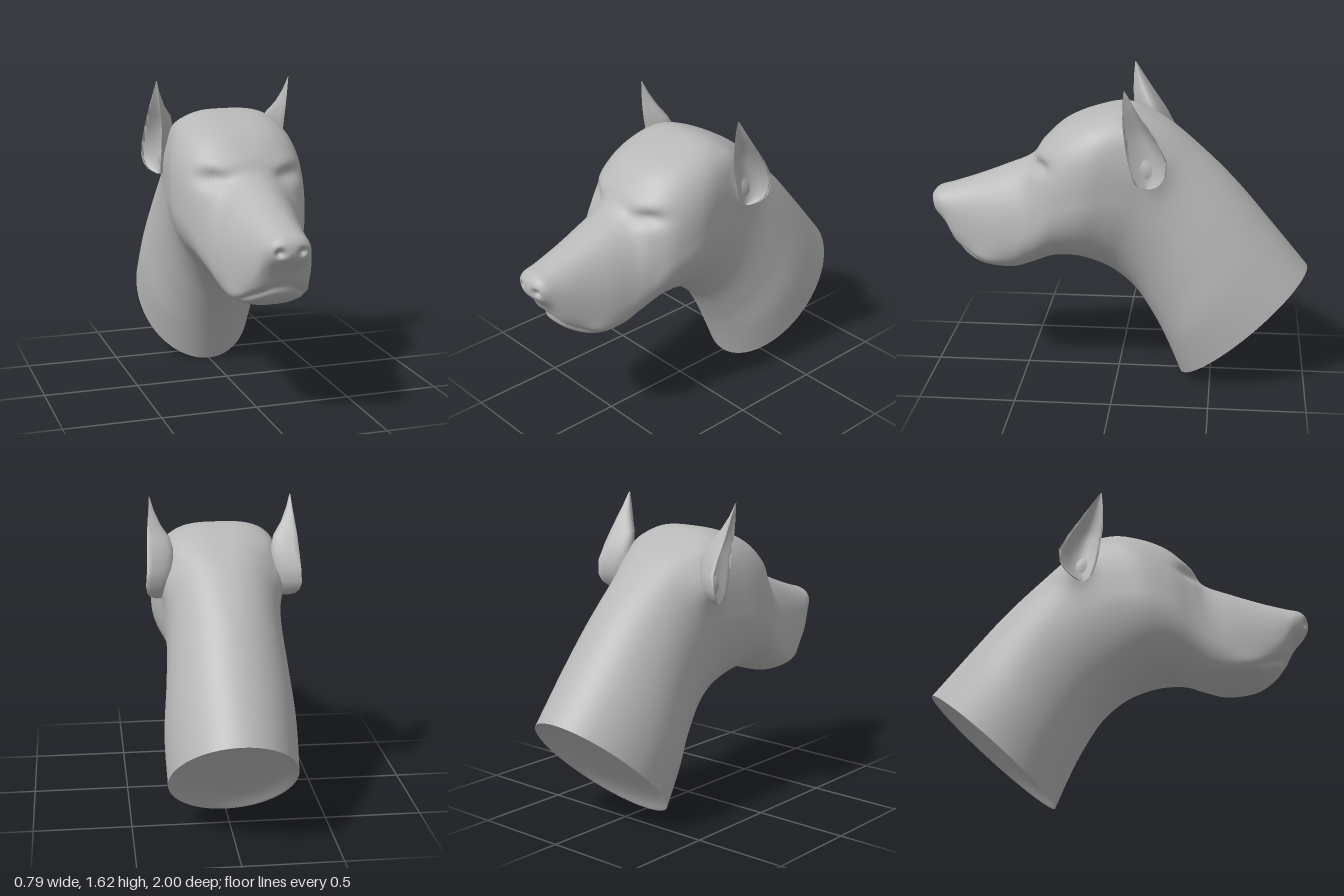
import * as THREE from 'three';

// Cross-sections from neck base to nose:
// top z, top y, bottom z, bottom y, half width, widest point (0 top..1 bottom), top roundness, bottom roundness
const SECTIONS = [
  [-1.0, 0.61, -0.335, 0.0, 0.325, 0.5, 1, 1],
  [-0.8, 0.85, -0.265, 0.17, 0.33, 0.5, 1, 1],
  [-0.61, 1.07, -0.195, 0.31, 0.31, 0.47, 0.97, 1],
  [-0.42, 1.25, -0.1, 0.46, 0.294, 0.46, 0.88, 1],
  [-0.24, 1.385, 0.0, 0.555, 0.3, 0.46, 0.72, 1],
  [-0.05, 1.463, 0.09, 0.61, 0.326, 0.5, 0.62, 1],
  [0.12, 1.438, 0.21, 0.65, 0.345, 0.54, 0.64, 1],
  [0.28, 1.375, 0.34, 0.652, 0.32, 0.56, 0.72, 0.95],
  [0.39, 1.28, 0.45, 0.615, 0.268, 0.6, 0.85, 0.85],
  [0.46, 1.19, 0.55, 0.587, 0.238, 0.62, 0.95, 0.78],
  [0.6, 1.128, 0.66, 0.592, 0.212, 0.64, 0.95, 0.75],
  [0.75, 1.07, 0.76, 0.622, 0.178, 0.64, 0.9, 0.75],
  [0.88, 1.026, 0.85, 0.69, 0.145, 0.6, 0.85, 0.8],
  [0.955, 1.004, 0.91, 0.8, 0.115, 0.5, 0.85, 0.85],
  [0.985, 0.98, 0.965, 0.865, 0.088, 0.5, 0.9, 0.9],
  [0.997, 0.955, 0.99, 0.895, 0.052, 0.5, 1, 1],
  [1.0, 0.925, 1.0, 0.925, 0, 0.5, 1, 1],
];
const AROUND = 96;

// Smooth interpolation through the section list
function sectionAt(t) {
  const last = SECTIONS.length - 1;
  const i = Math.min(Math.floor(t), last - 1), f = t - i;
  const [a, b, c, d] = [i - 1, i, i + 1, i + 2].map(k => SECTIONS[Math.max(0, Math.min(last, k))]);
  return b.map((p, k) => {
    const m0 = (c[k] - a[k]) / 2, m1 = (d[k] - p) / 2, q = c[k];
    return p + m0 * f + (3 * (q - p) - 2 * m0 - m1) * f * f + (2 * (p - q) + m0 + m1) * f * f * f;
  });
}

function ring([tz, ty, bz, by, w, mid, eT, eB]) {
  const points = [];
  for (let j = 0; j < AROUND; j++) {
    const a = j / AROUND * Math.PI * 2, c = Math.cos(a), s = Math.sin(a);
    const e = c > 0 ? eT : eB;
    const h = Math.pow(Math.abs(c), e);
    const v = c > 0 ? mid * (1 - h) : mid + (1 - mid) * h;
    const x = Math.max(0, w) * Math.sign(s) * Math.pow(Math.abs(s), e);
    points.push(new THREE.Vector3(x, ty + (by - ty) * v, tz + (bz - tz) * v));
  }
  return points;
}

// Mirrored soft pushes: centre, reach, offset
const PUSHES = [
  [[0.2, 1.175, 0.4], [0.08, 0.035, 0.1], [-0.018, 0, -0.025]],       // eye slit
  [[0.19, 1.24, 0.37], [0.08, 0.04, 0.09], [0.004, 0, 0.01]],         // brow
  [[0.055, 0.925, 0.985], [0.022, 0.02, 0.05], [0, 0, -0.028]],       // nostril
  [[0.27, 1.4, -0.16], [0.07, 0.08, 0.09], [0.03, 0.015, 0]],         // upper ear root
  [[0.3, 1.22, -0.2], [0.09, 0.1, 0.08], [0.045, 0, 0.01]],           // lower ear root
  [[0.17, 0.66, 0.68], [0.06, 0.05, 0.12], [0.012, -0.008, 0.012]],   // jowl
];
function sculpt(p) {
  const side = p.x < 0 ? -1 : 1, q = [Math.abs(p.x), p.y, p.z], o = [0, 0, 0];
  for (const [centre, reach, push] of PUSHES) {
    let d = 0;
    for (let k = 0; k < 3; k++) d += ((q[k] - centre[k]) / reach[k]) ** 2;
    const g = Math.exp(-d);
    for (let k = 0; k < 3; k++) o[k] += push[k] * g;
  }
  // Arched mouth crease, fading out toward the cheeks
  const crease = 0.735 - 3.2 * q[0] * q[0];
  const fade = THREE.MathUtils.smoothstep(p.z, 0.62, 0.8);
  const g = Math.exp(-(((p.y - crease) / 0.024) ** 2)) * fade;
  o[0] -= 0.04 * q[0] * g;
  o[2] -= 0.016 * g;
  return new THREE.Vector3(p.x + side * o[0] * Math.min(1, q[0] / 0.02), p.y + o[1], p.z + o[2]);
}

// Skin over a list of closed rings of equal length
function skin(rings, flip = false) {
  const n = rings[0].length, index = [];
  for (let i = 0; i < rings.length - 1; i++) {
    for (let j = 0; j < n; j++) {
      const k = (j + 1) % n;
      const a = i * n + j, b = i * n + k, c = a + n, d = b + n;
      if (flip) index.push(a, b, c, b, d, c);
      else index.push(a, c, b, b, c, d);
    }
  }
  const geometry = new THREE.BufferGeometry().setFromPoints(rings.flat());
  geometry.setIndex(index);
  geometry.computeVertexNormals();
  return geometry;
}

// Ear levels: y, front edge x, z, back edge x, z, bulge toward the head
const EAR = [
  [1.112, 0.325, -0.14, 0.335, -0.175, 0.02],
  [1.13, 0.33, -0.11, 0.37, -0.215, 0.055],
  [1.16, 0.335, -0.095, 0.388, -0.25, 0.085],
  [1.2, 0.335, -0.083, 0.395, -0.268, 0.1],
  [1.27, 0.335, -0.068, 0.39, -0.272, 0.115],
  [1.36, 0.335, -0.055, 0.385, -0.225, 0.115],
  [1.42, 0.34, -0.048, 0.382, -0.185, 0.1],
  [1.48, 0.346, -0.046, 0.377, -0.145, 0.055],
  [1.55, 0.353, -0.048, 0.369, -0.1, 0.022],
  [1.615, 0.36, -0.053, 0.362, -0.06, 0.002],
];
function earRing([y, fx, fz, bx, bz, bulge], side) {
  const n = 14, points = [];
  const inward = new THREE.Vector2(bz - fz, fx - bx).normalize();
  for (let j = 0; j < 2 * n; j++) {
    const back = j <= n, s = back ? j / n : 2 - j / n;
    const depth = Math.sin(Math.PI * s) * bulge * (back ? 1 : 0.5);
    const x = fx + (bx - fx) * s + inward.x * depth;
    const z = fz + (bz - fz) * s + inward.y * depth;
    points.push(new THREE.Vector3(side * x, y, z));
  }
  return points;
}

export function createModel() {
  const model = new THREE.Group();
  model.name = 'dogHead';
  const grey = new THREE.MeshStandardMaterial({ color: 0xb8b8b8, side: THREE.DoubleSide });
  grey.name = 'grey clay';
  const add = (name, geometry) => {
    const mesh = new THREE.Mesh(geometry, grey);
    mesh.name = name;
    model.add(mesh);
  };

  // Neck, skull and muzzle as one skin
  const rings = [], steps = 160;
  for (let i = 0; i <= steps; i++) {
    rings.push(ring(sectionAt(i / steps * (SECTIONS.length - 1))).map(sculpt));
  }
  add('headAndNeck', skin(rings));

  // Shallow hollow in the cut end of the neck
  const rim = rings[0], centre = new THREE.Vector3(0, 0.305, -0.6675);
  const hollow = [[0, 0.045], [0.5, 0.045], [0.8, 0.04], [0.95, 0.008], [1, 0]].map(([scale, depth]) =>
    rim.map(p => centre.clone().lerp(p, scale).add(new THREE.Vector3(0, 0.74 * depth, 0.68 * depth))));
  add('neckEnd', skin(hollow));

  // Upright cupped ears
  for (const [name, side] of [['leftEar', 1], ['rightEar', -1]]) {
    add(name, skin(EAR.map(level => earRing(level, side)), side > 0));
  }
  return model;
}
